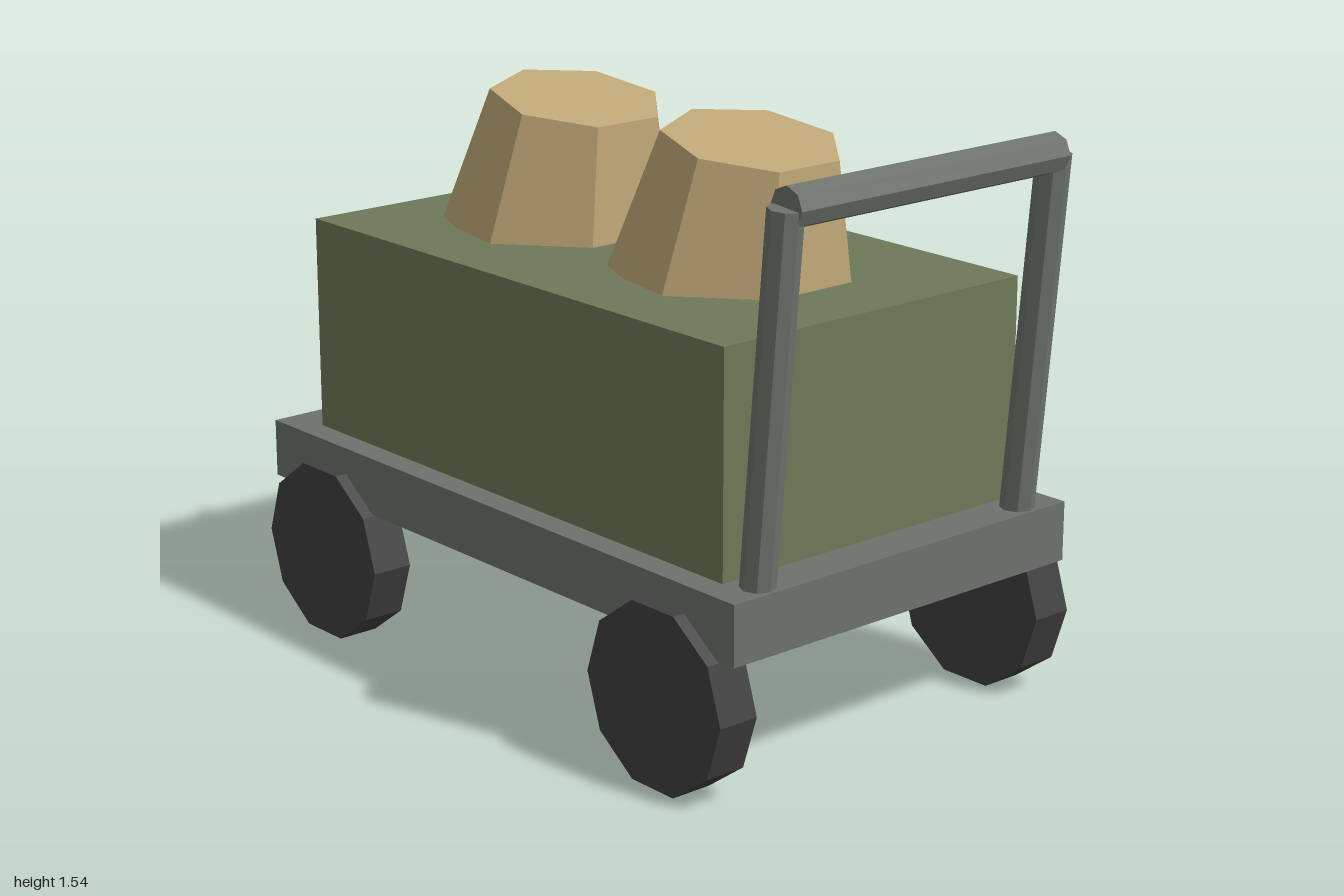
import * as THREE from 'three';

const mat = (name, color) => {
  const m = new THREE.MeshStandardMaterial({ color, flatShading: true });
  m.name = name;
  return m;
};

export function createModel() {
  const group = new THREE.Group();
  const metal = mat('greyMetal', 0x6c736b);
  const green = mat('crateGreen', 0x6c7958);
  const rubber = mat('darkRubber', 0x404041);
  const cloth = mat('sackTan', 0xbfa777);

  const add = (name, geometry, material, x, y, z) => {
    const mesh = new THREE.Mesh(geometry, material);
    mesh.name = name;
    mesh.position.set(x, y, z);
    group.add(mesh);
    return mesh;
  };

  // Flat bed and the crate on it
  add('deck', new THREE.BoxGeometry(1.913, 0.16, 1.146), metal, -0.043, 0.465, 0);
  add('crate', new THREE.BoxGeometry(1.667, 0.59, 1), green, -0.042, 0.84, 0);

  // Ten-sided wheels, resting on a flat side
  const wheel = new THREE.CylinderGeometry(0.248, 0.248, 0.117, 10, 1, false, Math.PI / 2);
  wheel.rotateX(Math.PI / 2);
  for (const x of [-0.74, 0.658])
    for (const side of [1, -1]) add('wheel', wheel, rubber, x, 0.236, side * 0.549);

  // Tilted seven-sided sacks sunk into the crate top
  const sack = new THREE.CylinderGeometry(0.235, 0.328, 0.377, 7, 1, false, -Math.PI / 2);
  for (const x of [-0.388, 0.307]) add('sack', sack, cloth, x, 1.3, 0).rotation.z = -0.17;

  // Push handle: two leaning posts and a crossbar
  const lean = Math.atan2(0.083, 0.945);
  const post = new THREE.CylinderGeometry(0.045, 0.045, 0.95, 8);
  for (const side of [1, -1])
    add('handlePost', post, metal, 0.902, 1.015, side * 0.45).rotation.z = -lean;
  const bar = new THREE.CylinderGeometry(0.053, 0.053, 0.9, 8);
  add('handleBar', bar, metal, 0.945, 1.488, 0).rotation.x = Math.PI / 2;

  return group;
}
